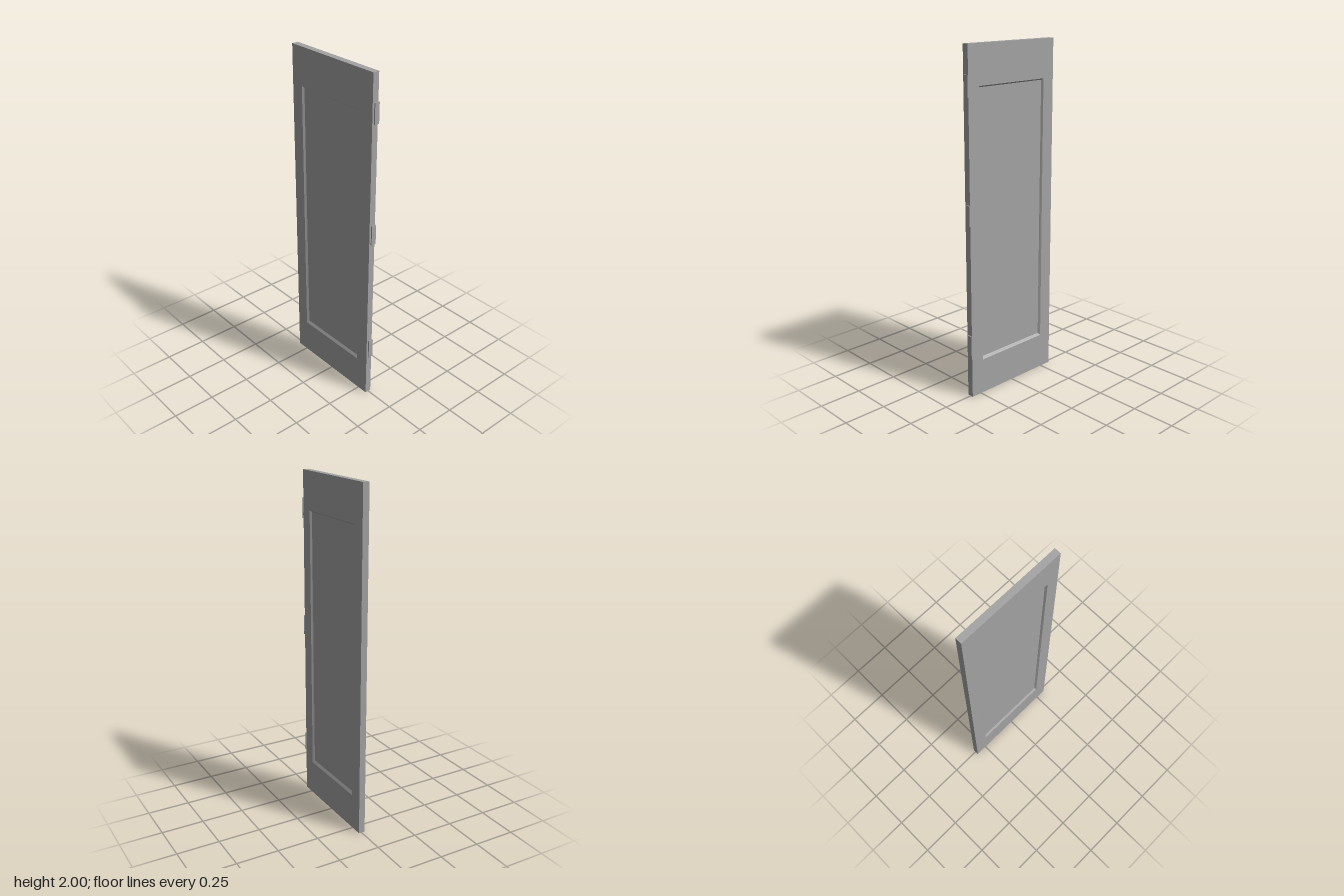
import * as THREE from 'three';

// Four corners at a given x, anticlockwise seen from +x: bottom front, bottom back, top back, top front
function ring(x, y0, y1, frontBottom, frontTop, backBottom, backTop) {
  return [[x, y0, frontBottom], [x, y0, backBottom], [x, y1, backTop], [x, y1, frontTop]];
}

// Skin successive rings and close both ends, with flat faces
function skin(rings) {
  const pos = [];
  const quad = (a, b, c, d) => pos.push(...a, ...b, ...c, ...a, ...c, ...d);
  quad(...rings[0]);
  for (let r = 0; r < rings.length - 1; r++) {
    const a = rings[r], b = rings[r + 1];
    for (let i = 0; i < 4; i++) {
      const j = (i + 1) % 4;
      quad(a[i], b[i], b[j], a[j]);
    }
  }
  quad(...[...rings[rings.length - 1]].reverse());
  const geo = new THREE.BufferGeometry();
  geo.setAttribute('position', new THREE.Float32BufferAttribute(pos, 3));
  geo.computeVertexNormals();
  return geo;
}

export function createModel() {
  const group = new THREE.Group();
  group.name = 'door';
  const grey = new THREE.MeshStandardMaterial({ color: 0xa3a3a3 });
  grey.name = 'plain grey';

  // Door slab with a bevelled recessed panel on both faces
  const left = 0.017, right = -0.021, depth = 0.011;
  const panel = (x) => ring(x, 0.225, 1.772, 0.225, 0.235, -0.232, -0.238);
  const opening = (x) => ring(x, 0.21, 1.78, 0.234, 0.242, -0.243, -0.246);
  const outline = (x) => ring(x, 0, 2, 0.315, 0.315, -0.322, -0.322);
  const slab = new THREE.Mesh(skin([
    panel(left - depth), opening(left), outline(left),
    outline(right), opening(right), panel(right + depth),
  ]), grey);
  slab.name = 'doorSlab';
  group.add(slab);

  // Three hinges along the front edge
  [0.322, 1.088, 1.785].forEach((y, i) => {
    const hinge = new THREE.Mesh(new THREE.BoxGeometry(0.03, 0.116, 0.009), grey);
    hinge.position.set(0.005, y, 0.3175);
    hinge.name = 'hinge' + (i + 1);
    group.add(hinge);
  });
  return group;
}
